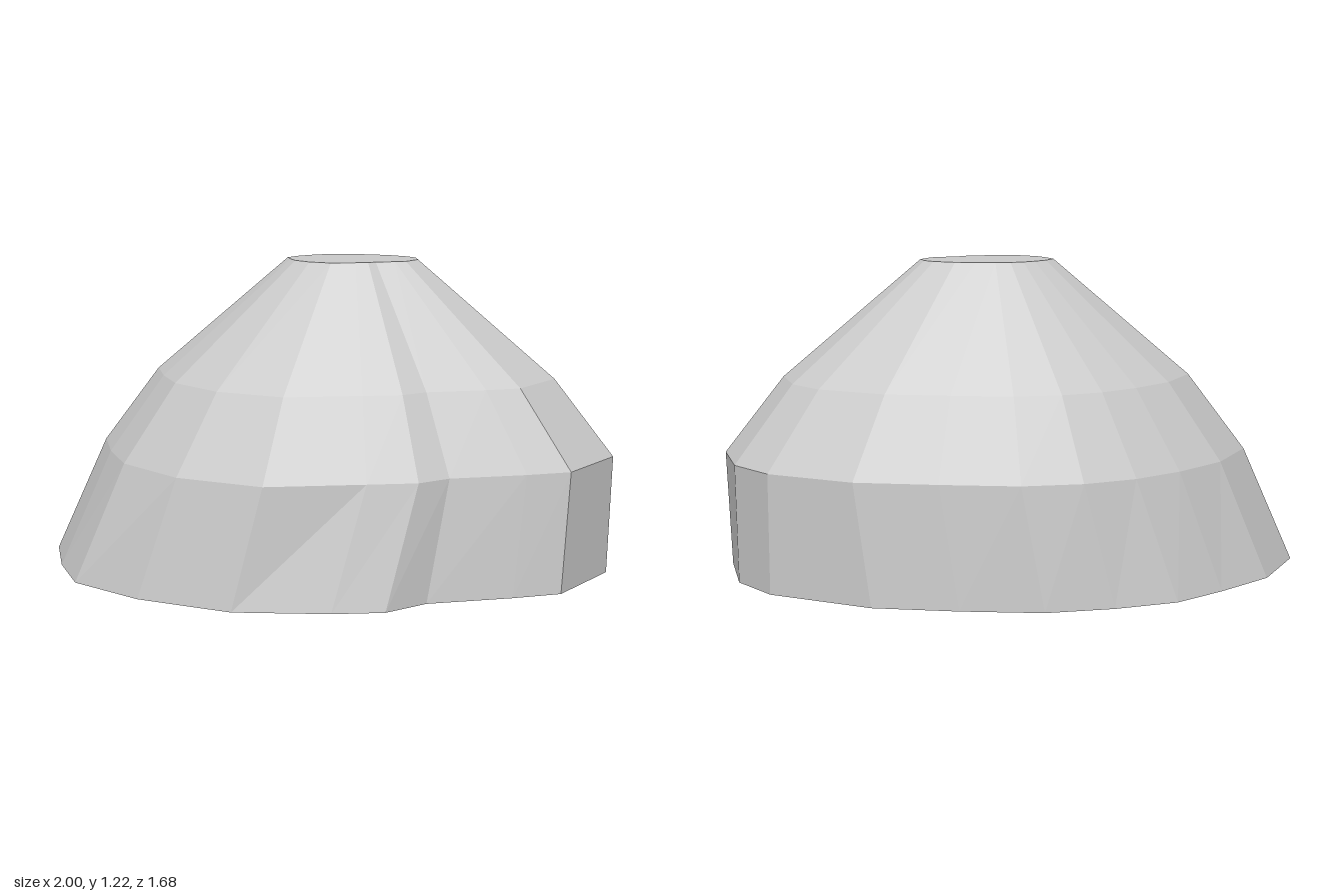
import * as THREE from 'three';

// Outlines as x, z pairs, counter-clockwise seen from above
const FOOT = [
  -1, .485, -.8, .67, -.58, .82, -.24, .84, .145, .76, .45, .56, .6, .43, .66, .25, .88, 0, 1, -.155,
  1, -.52, .82, -.75, .62, -.845, .19, -.845, -.12, -.75, -.41, -.64, -.62, -.485, -.8, -.31, -.9, -.1, -1, .155,
];
const WAIST = [
  -.83, .365, -.65, .53, -.45, .67, -.13, .735, .22, .665, .5, .41, .64, .28, .69, .15, .89, -.07, 1, -.21,
  1, -.55, .82, -.76, .62, -.845, .26, -.845, -.04, -.75, -.32, -.65, -.51, -.52, -.65, -.36, -.75, -.17, -.83, .07,
];
const COUNT = FOOT.length / 2;

// Ring of points at a height: the outline scaled and shifted
function ring(outline, y, scale = 1, dx = 0, dz = 0) {
  return Array.from({ length: COUNT }, (_, i) =>
    new THREE.Vector3(outline[2 * i] * scale + dx, y, outline[2 * i + 1] * scale + dz));
}

function facetedMesh(name, corners) {
  const geometry = new THREE.BufferGeometry().setFromPoints(corners);
  geometry.computeVertexNormals();
  const mesh = new THREE.Mesh(geometry, new THREE.MeshStandardMaterial({ color: 0xcccccc, flatShading: true }));
  mesh.name = name;
  return mesh;
}

// Band of facets between two neighbouring rings
function band(name, low, high) {
  const corners = [];
  for (let i = 0; i < COUNT; i++) {
    const j = (i + 1) % COUNT;
    corners.push(low[i], low[j], high[j], low[i], high[j], high[i]);
  }
  return facetedMesh(name, corners);
}

// Flat cap over a ring, facing up or down
function cap(name, points, up) {
  const outline = points.map((p) => new THREE.Vector2(p.x, -p.z));
  const corners = [];
  for (const [a, b, c] of THREE.ShapeUtils.triangulateShape(outline, [])) {
    for (const i of up ? [a, b, c] : [c, b, a]) corners.push(points[i]);
  }
  return facetedMesh(name, corners);
}

export function createModel() {
  // The slopes above the waist are shrunken copies of its outline
  const foot = ring(FOOT, 0);
  const waist = ring(WAIST, 0.46);
  const shoulder = ring(WAIST, 0.76, 0.775, 0.015, -0.02);
  const rim = ring(WAIST, 1.215, 0.252, 0.058, -0.066);

  const group = new THREE.Group();
  group.name = 'rockMound';
  group.add(
    band('lowerWall', foot, waist),
    band('shoulderSlope', waist, shoulder),
    band('upperSlope', shoulder, rim),
    cap('flatTop', rim, true),
    cap('underside', foot, false),
  );
  return group;
}
